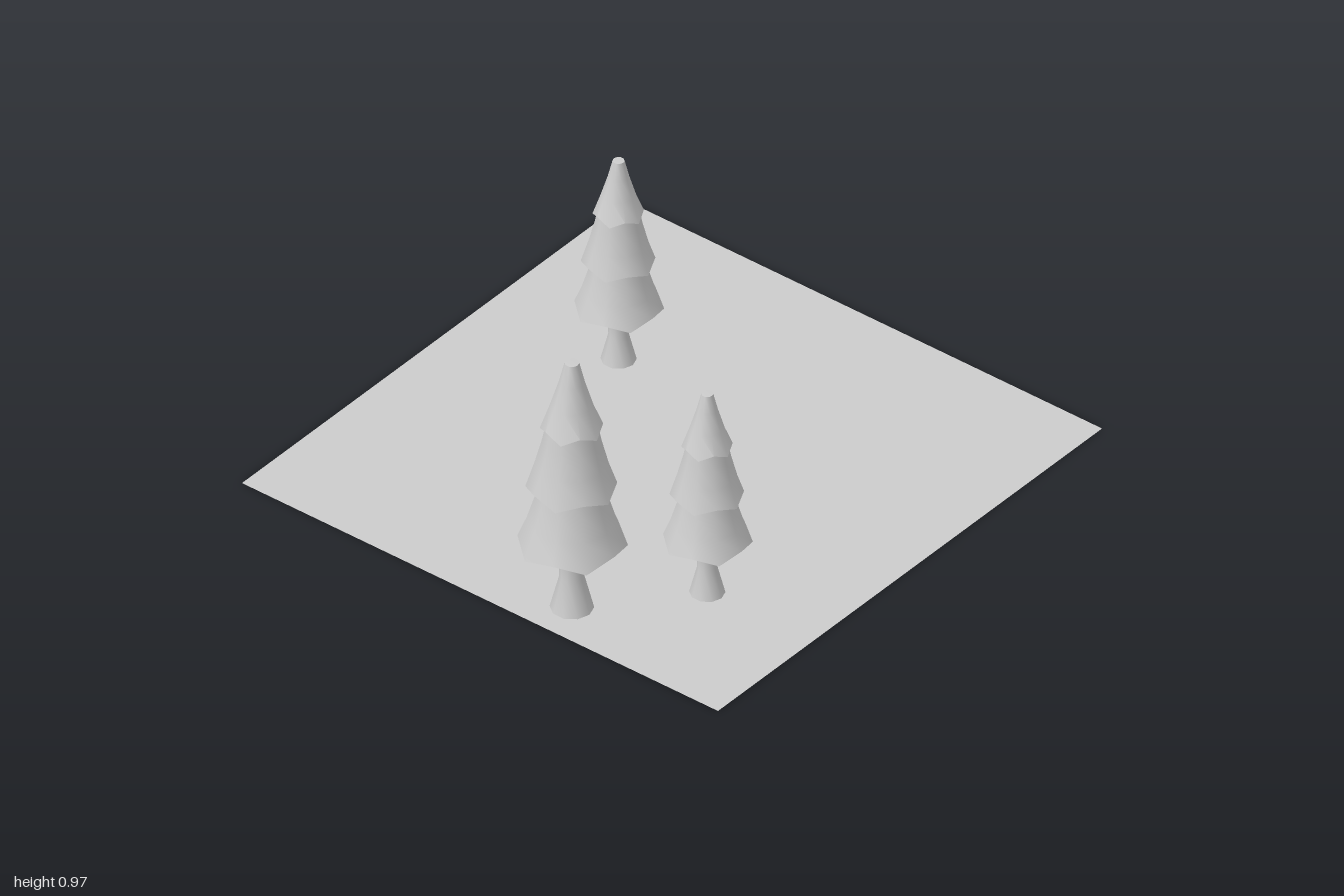
import * as THREE from 'three';
import { toCreasedNormals } from 'three/addons/utils/BufferGeometryUtils.js';

const SIDES = 10;
const material = new THREE.MeshStandardMaterial({ color: 0xcccccc });

// Ten-sided turned shape from [radius, height] pairs, bottom to top
function turned(profile) {
  return new THREE.LatheGeometry(profile.map(([r, y]) => new THREE.Vector2(r, y)), SIDES);
}

function mesh(name, geometry, crease = 0.75) {
  const m = new THREE.Mesh(toCreasedNormals(geometry, crease), material);
  m.name = name;
  return m;
}

// Skirt of branches: hollow underside, zigzag hem, tapering sides, closed top
function tier(name, hemRadius, hemY, topRadius, topY, turn) {
  const at = (t) => [
    THREE.MathUtils.lerp(hemRadius, topRadius, t) - 0.006 * Math.sin(Math.PI * t),
    THREE.MathUtils.lerp(hemY, topY, t),
  ];
  const geometry = turned([
    [0, hemY + 0.05], [hemRadius * 0.82, hemY + 0.025],
    at(0), at(0.35), at(0.7), at(1), [0, topY + 0.001],
  ]);
  const hemIndex = 2, rows = 7;
  const p = geometry.attributes.position;
  for (let s = 0; s <= SIDES; s++) {
    const i = s * rows + hemIndex;
    const low = s % 2 === 0 ? 1 : -1;
    const spread = 1 + 0.015 * low;
    p.setXYZ(i, p.getX(i) * spread, p.getY(i) - 0.013 * low, p.getZ(i) * spread);
  }
  geometry.rotateY(turn);
  return mesh(name, geometry);
}

function makeTree(name, x, z, scale) {
  const tree = new THREE.Group();
  tree.name = name;
  // Trunk flaring out to the roots
  tree.add(mesh('trunk', turned([[0.072, 0], [0.041, 0.123], [0.042, 0.2], [0.049, 0.33]])));
  const step = Math.PI / 5;
  tree.add(tier('lowerBranches', 0.178, 0.265, 0.1, 0.515, step));
  tree.add(tier('middleBranches', 0.148, 0.488, 0.08, 0.745, 0));
  tree.add(tier('upperBranches', 0.102, 0.722, 0.024, 0.973, 0));
  tree.position.set(x, 0, z);
  tree.scale.setScalar(scale);
  return tree;
}

export function createModel() {
  const model = new THREE.Group();
  model.name = 'pineTreesOnGround';

  // Flat sheet of ground
  const ground = new THREE.Mesh(
    new THREE.PlaneGeometry(1.966, 1.966).rotateX(-Math.PI / 2),
    new THREE.MeshStandardMaterial({ color: 0xcccccc, side: THREE.DoubleSide })
  );
  ground.name = 'ground';
  ground.position.set(0.017, 0, 0);
  model.add(ground);

  // One tall pine and two smaller ones
  model.add(makeTree('tallPine', -0.82, 0.262, 1));
  model.add(makeTree('frontPine', -0.484, 0.55, 0.812));
  model.add(makeTree('backPine', 0.32, -0.465, 0.812));
  return model;
}
